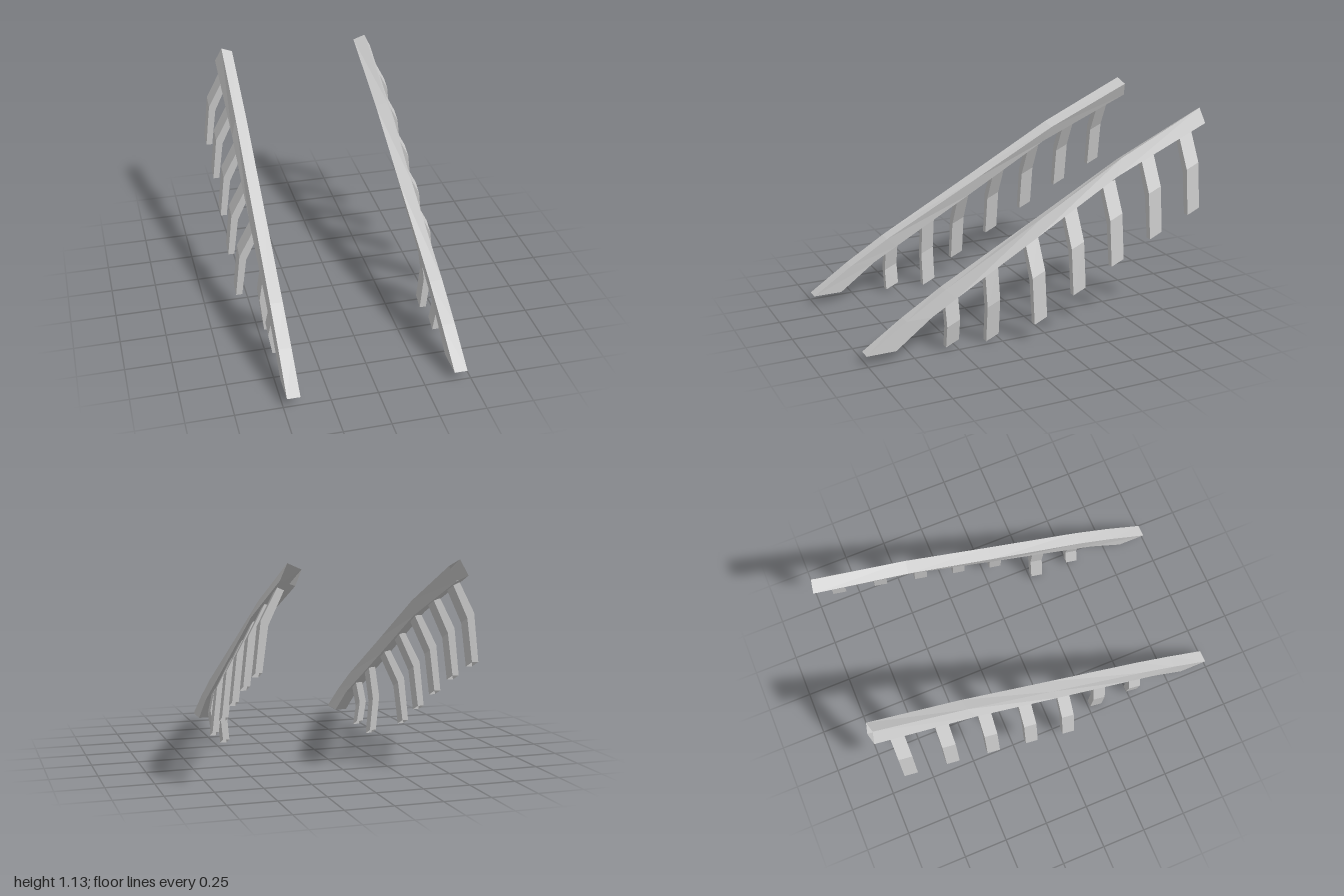
import * as THREE from 'three';

const material = new THREE.MeshStandardMaterial({ color: 0xcccccc, flatShading: true, side: THREE.DoubleSide });

// Open four-sided tube through a list of sections, each with four [x, y, z] corners
function tube(name, sections, side) {
  const pos = [];
  for (let i = 0; i < sections.length - 1; i++) {
    const a = sections[i], b = sections[i + 1];
    for (let k = 0; k < 4; k++) {
      const n = (k + 1) % 4;
      const order = side > 0 ? [a[k], a[n], b[n], a[k], b[n], b[k]] : [a[k], b[n], a[n], a[k], b[k], b[n]];
      for (const [x, y, z] of order) pos.push(x * side, y, z);
    }
  }
  const geo = new THREE.BufferGeometry();
  geo.setAttribute('position', new THREE.Float32BufferAttribute(pos, 3));
  geo.computeVertexNormals();
  const mesh = new THREE.Mesh(geo, material);
  mesh.name = name;
  return mesh;
}

// Rail stations: top z, top y, bottom z, bottom y, amount of roll
const RAIL = [
  [1.0, 0.05, 0.84, 0.05, 0],
  [0.78, 0.2, 0.64, 0.2, 0.1],
  [0.56, 0.335, 0.5, 0.28, 0.2],
  [0.0, 0.64, 0.04, 0.54, 0.5],
  [-0.48, 0.905, -0.44, 0.815, 0.75],
  [-0.97, 1.13, -0.985, 1.05, 1],
];

function railSections() {
  return RAIL.map(([tz, ty, bz, by, r]) => [
    [0.48 - 0.04 * r, ty, tz],
    [0.41 - 0.035 * r, ty - 0.03 * r, tz - 0.015 * r],
    [0.41, by - 0.025 * r, bz - 0.015 * r],
    [0.48, by, bz],
  ]);
}

// Bracket profiles: inner x, inner y, outer x, outer y, measured from the foot
const LONG = [[0.545, 0, 0.58, 0], [0.515, 0.225, 0.552, 0.25], [0.425, 0.415, 0.465, 0.415]];
const SHORT = [[0.43, 0, 0.467, 0], [0.447, 0.115, 0.487, 0.12], [0.42, 0.25, 0.46, 0.25]];
const MIDDLE = [[0.43, 0, 0.467, 0], [0.447, 0.19, 0.487, 0.2], [0.42, 0.38, 0.46, 0.38]];

// Front z, foot height, profile
const BRACKETS = [
  [0.56, 0.01, SHORT],
  [0.33, 0, MIDDLE],
  [0.1, 0.097, LONG],
  [-0.13, 0.223, LONG],
  [-0.36, 0.348, LONG],
  [-0.595, 0.468, LONG],
  [-0.83, 0.573, LONG],
];

// The back edge of a bracket sits higher, following the slope of the rail
function bracketSections([z, foot, profile]) {
  const depth = 0.073, rise = 0.033;
  return profile.map(([ix, iy, ox, oy]) => [
    [ox, foot + oy, z],
    [ox, foot + oy + rise, z - depth],
    [ix, foot + iy + rise, z - depth],
    [ix, foot + iy, z],
  ]);
}

export function createModel() {
  const model = new THREE.Group();
  model.name = 'stairHandrails';
  for (const side of [1, -1]) {
    const handrail = new THREE.Group();
    handrail.name = side > 0 ? 'leftHandrail' : 'rightHandrail';
    handrail.add(tube('rail', railSections(), side));
    BRACKETS.forEach((b, i) => handrail.add(tube(`bracket${i + 1}`, bracketSections(b), -side === 1 ? -1 : 1)));
    model.add(handrail);
  }
  return model;
}
